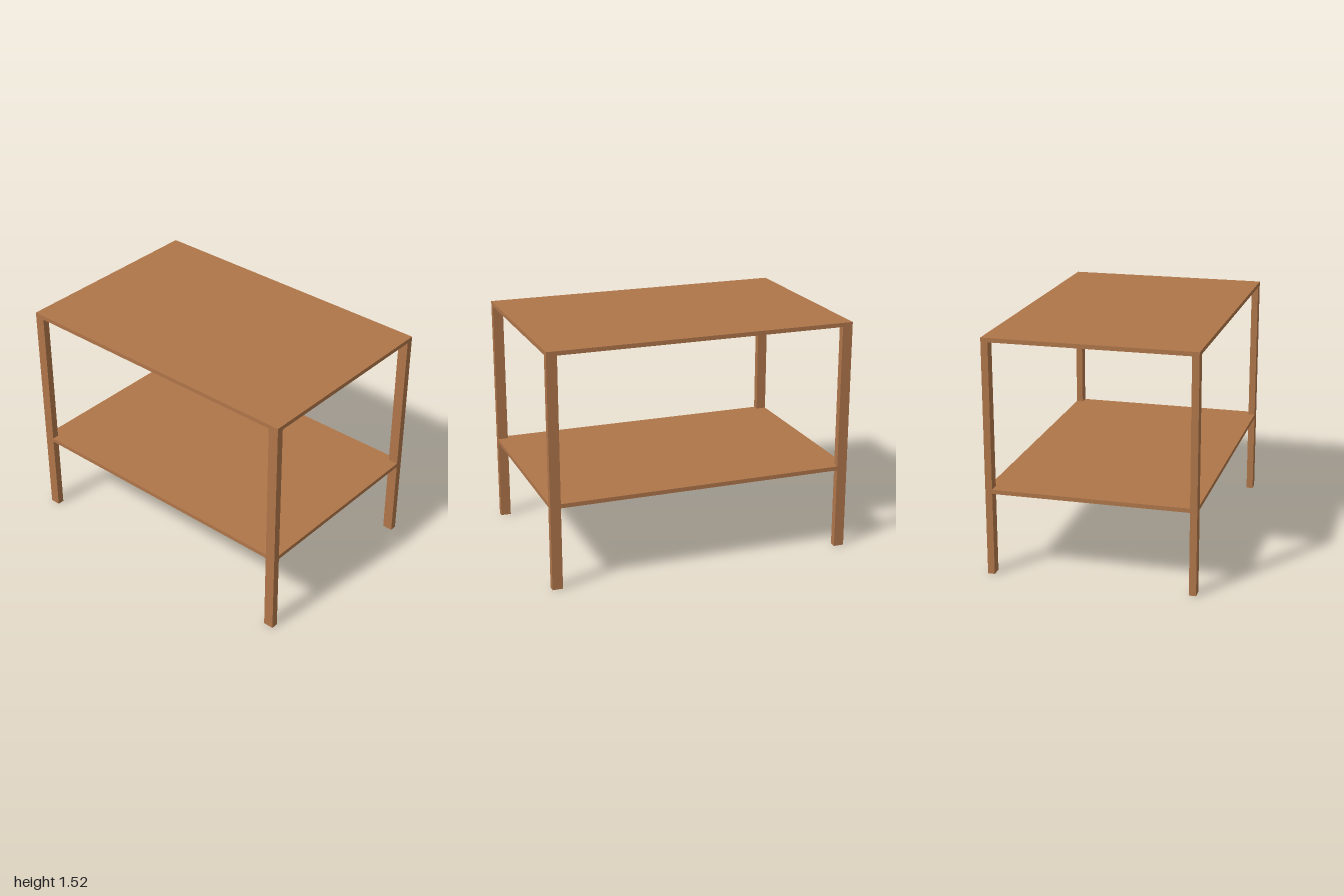
import * as THREE from 'three';

const HALF_W = 1, HALF_D = 0.667, HEIGHT = 1.523;
const LEG_W = 0.067, LEG_D = 0.0445, BOARD = 0.027;
const SHELF_TOP = 0.562;

export function createModel() {
  const group = new THREE.Group();
  const wood = new THREE.MeshStandardMaterial({ color: 0xb0764a });
  wood.name = 'wood';

  const add = (name, geometry, x, y, z) => {
    const mesh = new THREE.Mesh(geometry, wood);
    mesh.name = name;
    mesh.position.set(x, y, z);
    group.add(mesh);
  };

  // Table top covering the four legs
  add('tableTop', new THREE.BoxGeometry(HALF_W * 2, BOARD, HALF_D * 2), 0, HEIGHT - BOARD / 2, 0);

  // Rectangular corner legs, flush with the edges of the top
  const legHeight = HEIGHT - BOARD;
  const leg = new THREE.BoxGeometry(LEG_W, legHeight, LEG_D);
  for (const [side, sx] of [['Left', 1], ['Right', -1]]) {
    for (const [end, sz] of [['front', 1], ['back', -1]]) {
      add(`${end}${side}Leg`, leg, sx * (HALF_W - LEG_W / 2), legHeight / 2, sz * (HALF_D - LEG_D / 2));
    }
  }

  // Lower shelf, notched at the corners to fit around the legs
  const ix = HALF_W - LEG_W, iz = HALF_D - LEG_D;
  const outline = new THREE.Shape([
    [ix, -HALF_D], [ix, -iz], [HALF_W, -iz], [HALF_W, iz], [ix, iz], [ix, HALF_D],
    [-ix, HALF_D], [-ix, iz], [-HALF_W, iz], [-HALF_W, -iz], [-ix, -iz], [-ix, -HALF_D],
  ].map(([x, y]) => new THREE.Vector2(x, y)));
  const shelf = new THREE.ExtrudeGeometry(outline, { depth: BOARD, bevelEnabled: false });
  shelf.rotateX(-Math.PI / 2);
  add('lowerShelf', shelf, 0, SHELF_TOP - BOARD, 0);

  return group;
}
